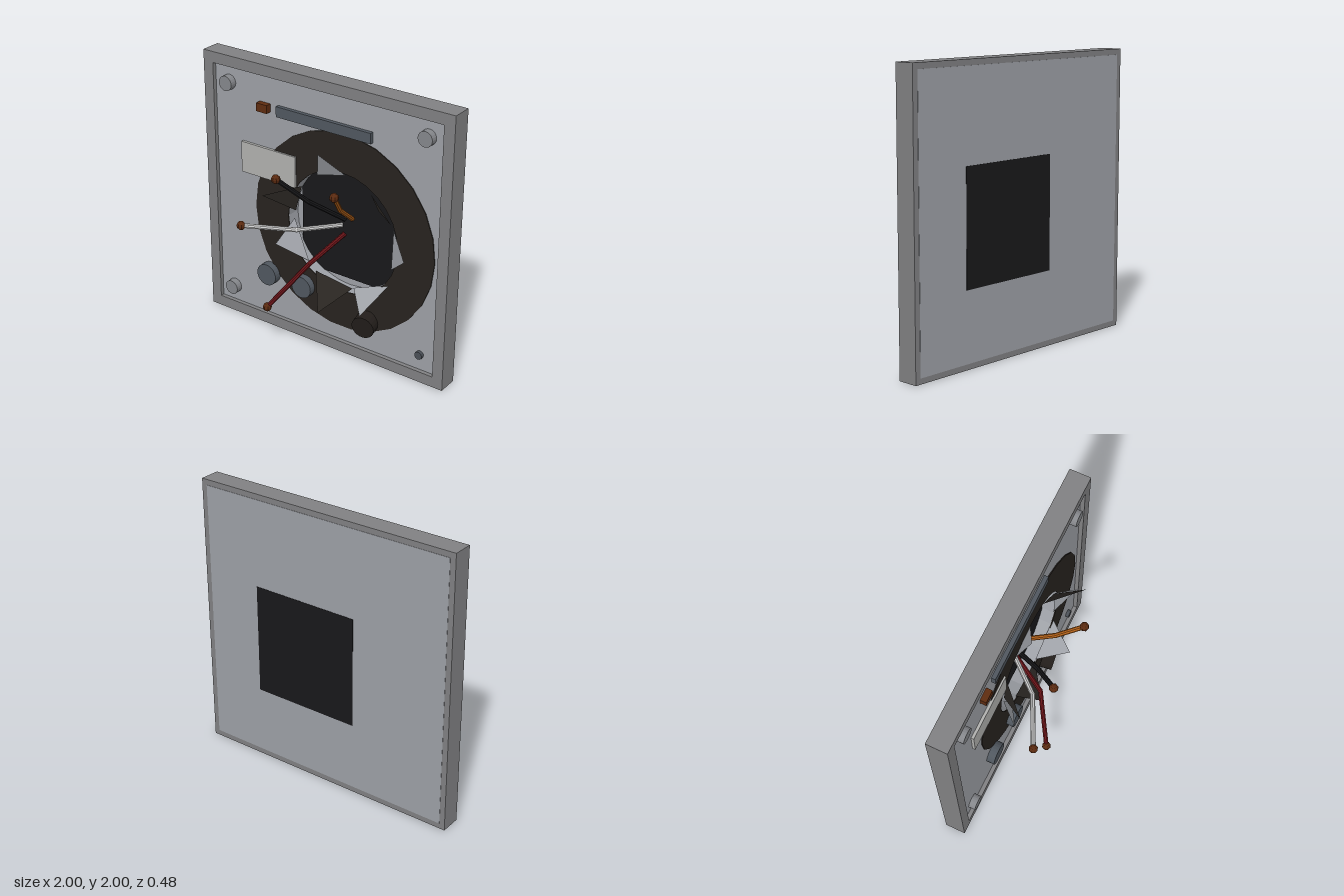
import * as THREE from 'three';

const V = (x, y, z) => new THREE.Vector3(x, y, z);

export function createModel() {
  const model = new THREE.Group();
  const mats = {};
  const mat = (color) => (mats[color] ??= new THREE.MeshStandardMaterial({ color, flatShading: true, side: THREE.DoubleSide }));

  function add(name, geometry, color, x = 0, y = 0, z = 0) {
    const mesh = new THREE.Mesh(geometry, mat(color));
    mesh.name = name;
    mesh.position.set(x, y, z);
    model.add(mesh);
    return mesh;
  }
  // Box given by its centre in x and y, and its back and front in z
  const box = (name, color, x, y, w, h, z0, z1) =>
    add(name, new THREE.BoxGeometry(w, h, z1 - z0), color, x, y, (z0 + z1) / 2);
  // Round part whose axis points to the front
  const disc = (name, color, x, y, r, z0, z1, sides = 20) =>
    add(name, new THREE.CylinderGeometry(r, r, z1 - z0, sides).rotateX(Math.PI / 2), color, x, y, (z0 + z1) / 2);

  const square = (half) => [[-half, 1 - half], [half, 1 - half], [half, 1 + half], [-half, 1 + half]]
    .map(([x, y]) => new THREE.Vector2(x, y));
  const circle = (r, sides) => Array.from({ length: sides }, (_, i) => {
    const a = (i / sides) * Math.PI * 2;
    return new THREE.Vector2(0.15 + r * Math.cos(a), 0.925 + r * Math.sin(a));
  });
  function plate(name, color, outer, inner, z0, z1) {
    const shape = new THREE.Shape(outer);
    shape.holes.push(new THREE.Path(inner));
    add(name, new THREE.ExtrudeGeometry(shape, { depth: z1 - z0, bevelEnabled: false }), color, 0, 0, z0);
  }

  // Housing: frame, back cover, pierced face plate and burnt cavity
  plate('frame', 0x808082, square(1), square(0.92), -0.238, -0.09);
  box('backCover', 0x9da0a6, 0, 1, 1.92, 1.92, -0.24, -0.222);
  plate('facePlate', 0x9da0a6, square(0.92), circle(0.45, 28), -0.222, -0.12);
  box('cavity', 0x18181a, 0.15, 0.93, 0.8, 0.8, -0.242, -0.212);
  plate('scorchRing', 0x28231f, circle(0.735, 26), circle(0.45, 28), -0.12, -0.113);

  // Torn metal petals: tip, then the two base corners
  const light = 0xa3a6ac, dark = 0x2a2622;
  const petals = [
    [light, V(0.01, 1.5, -0.03), -0.06, 1.3, 0.17, 1.36],
    [dark, V(0.58, 1.31, 0.1), 0.375, 1.28, 0.54, 1.1],
    [light, V(0.71, 0.92, -0.02), 0.56, 1.07, 0.55, 0.77],
    [light, V(0.43, 0.46, 0.07), 0.54, 0.65, 0.25, 0.53],
    [dark, V(0.05, 0.33, 0.025), 0.24, 0.52, -0.07, 0.56],
    [light, V(-0.33, 0.74, 0), -0.13, 0.62, -0.25, 0.92],
    [dark, V(-0.38, 1.13, 0.075), -0.24, 0.98, -0.19, 1.18],
  ];
  for (const [color, tip, ax, ay, bx, by] of petals) {
    const g = new THREE.BufferGeometry().setFromPoints([tip, V(bx, by, -0.12), V(ax, ay, -0.12)]);
    g.computeVertexNormals();
    add('tornPetal', g, color);
  }

  // Bent wires with a bare copper ball at the end
  const wires = [
    ['whiteWire', 0xbdbdbd, V(0.09, 0.93, -0.21), V(-0.12, 0.93, 0.035), V(-0.465, 0.93, 0.205)],
    ['blackWire', 0x18181a, V(0.11, 0.98, -0.21), V(-0.025, 1.175, 0.035), V(-0.16, 1.365, 0.205)],
    ['orangeWire', 0xb8641a, V(0.17, 1.0, -0.21), V(0.24, 1.185, 0.035), V(0.31, 1.365, 0.205)],
    ['redWire', 0x6a1418, V(0.11, 0.87, -0.21), V(-0.005, 0.71, 0.04), V(-0.25, 0.36, 0.205)],
  ];
  for (const [name, color, start, bend, end] of wires) {
    for (const [a, b] of [[start, bend], [bend, end]]) {
      add(name, new THREE.TubeGeometry(new THREE.LineCurve3(a, b), 1, 0.017, 8), color);
    }
    add(name + 'Joint', new THREE.SphereGeometry(0.017, 8, 6), color, bend.x, bend.y, bend.z);
    add(name + 'Tip', new THREE.SphereGeometry(0.032, 8, 6), 0x5a2a10, end.x, end.y, end.z);
  }

  // Corner screws and the empty screw hole
  for (const [x, y] of [[-0.8, 1.8], [0.8, 1.8], [-0.8, 0.2]]) disc('screw', 0x85878b, x, y, 0.054, -0.12, -0.07);
  disc('emptyScrewHole', 0x4a4f56, 0.8, 0.2, 0.029, -0.13, -0.095, 14);

  // Controls on the face
  for (const x of [-0.465, -0.158]) disc('knob', 0x50575f, x, 0.42, 0.082, -0.12, -0.062, 24);
  disc('burntKnob', 0x221d1a, 0.382, 0.308, 0.083, -0.12, -0.03).rotation.set(0.12, 0.15, 0);
  box('slotBar', 0x50575f, 0, 1.688, 0.765, 0.075, -0.12, -0.091);
  box('indicatorLamp', 0x5e2c10, -0.495, 1.69, 0.09, 0.06, -0.12, -0.077);
  box('blankLabel', 0xb0b0ae, -0.463, 1.275, 0.465, 0.23, -0.12, -0.1);

  return model;
}
